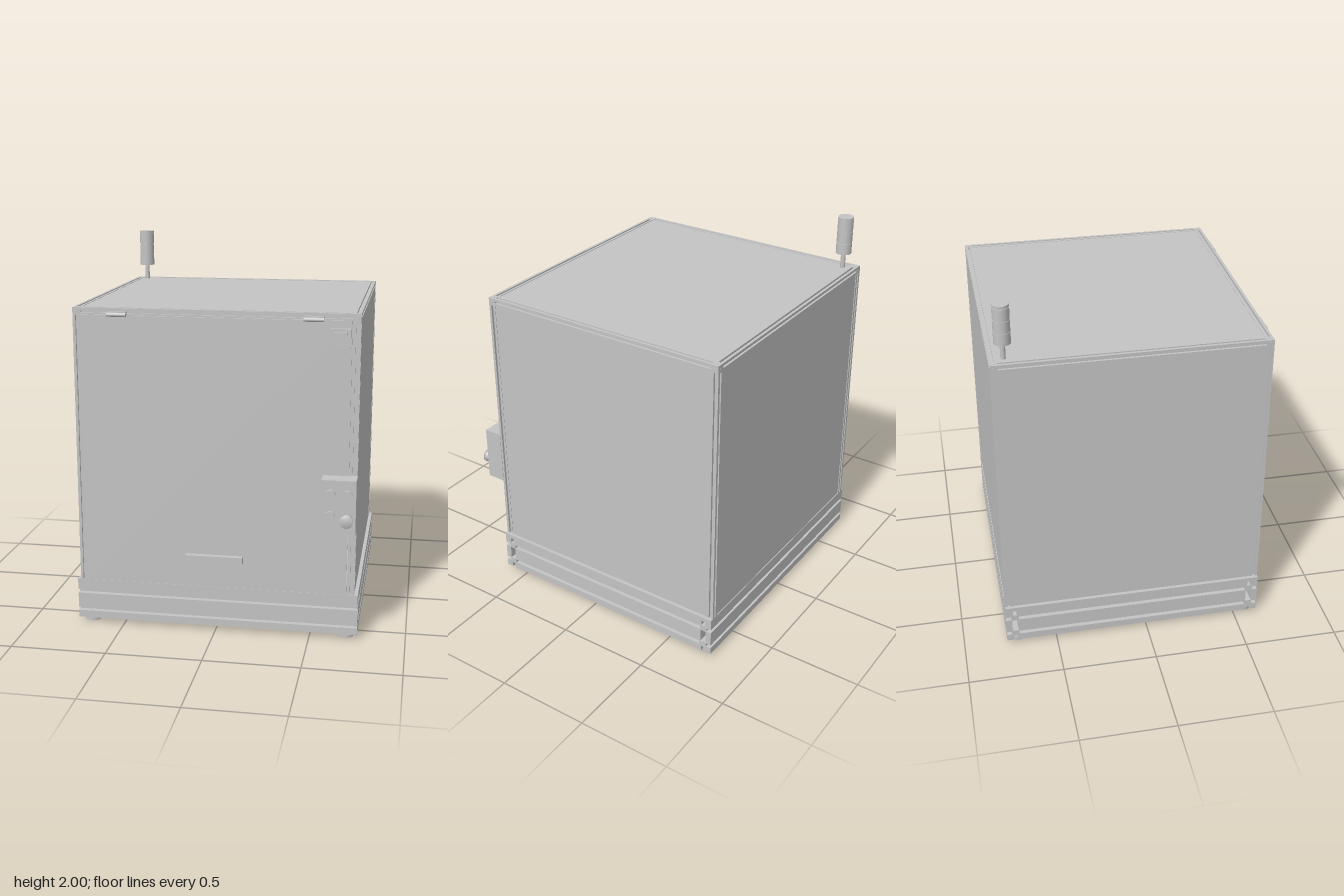
import * as THREE from 'three';

const CZ = -0.0725; // centre of the enclosure in z

export function createModel() {
  const root = new THREE.Group();
  const grey = new THREE.MeshStandardMaterial({ color: 0xc4c4c4 });
  grey.name = 'lightGrey';

  const add = (name, geo, x = 0, y = 0, z = 0) => {
    const m = new THREE.Mesh(geo, grey);
    m.name = name;
    m.position.set(x, y, z);
    root.add(m);
    return m;
  };
  // Box given by its limits
  const box = (name, x0, x1, y0, y1, z0, z1) =>
    add(name, new THREE.BoxGeometry(x1 - x0, y1 - y0, z1 - z0), (x0 + x1) / 2, (y0 + y1) / 2, (z0 + z1) / 2);
  const cyl = (name, r, h, x, y, z, seg = 32) => add(name, new THREE.CylinderGeometry(r, r, h, seg), x, y, z);

  // Slotted profile; slots on the sides at heights ys, one slot in top and bottom
  const profile = (w, h, slot, depth, ys) => {
    const a = w / 2, b = h / 2, s = slot / 2, p = [];
    p.push([-a, -b], [-s, -b], [-s, -b + depth], [s, -b + depth], [s, -b], [a, -b]);
    for (const y of ys) p.push([a, y - s], [a - depth, y - s], [a - depth, y + s], [a, y + s]);
    p.push([a, b], [s, b], [s, b - depth], [-s, b - depth], [-s, b], [-a, b]);
    for (const y of [...ys].reverse()) p.push([-a, y + s], [-a + depth, y + s], [-a + depth, y - s], [-a, y - s]);
    return new THREE.Shape(p.map(([x, y]) => new THREE.Vector2(x, y)));
  };
  // Extruded bar centred on a point, running along an axis
  const bar = (name, shape, len, axis, x, y, z) => {
    const g = new THREE.ExtrudeGeometry(shape, { depth: len, bevelEnabled: false });
    g.translate(0, 0, -len / 2);
    if (axis === 'x') g.rotateY(Math.PI / 2);
    if (axis === 'y') g.rotateX(Math.PI / 2);
    return add(name, g, x, y, z);
  };

  // Base frame of heavy two-cell profiles, hollow along the length
  const heavy = profile(0.096, 0.197, 0.02, 0.028, [-0.05, 0.05]);
  const cavity = new THREE.Path([[-0.016, -0.036], [-0.016, 0.036], [0.016, 0.036], [0.016, -0.036]]
    .map(([x, y]) => new THREE.Vector2(x, y)));
  heavy.holes.push(cavity);
  for (const s of [-1, 1]) {
    bar('baseCrossBar', heavy, 1.5, 'x', 0, 0.1235, CZ + s * 0.6495);
    bar('baseSideBar', heavy, 1.203, 'z', s * 0.702, 0.1235, CZ);
    for (const z of [-0.71, 0.565]) cyl('foot', 0.044, 0.026, s * 0.685, 0.013, z);
  }
  box('floorPlate', -0.75, 0.75, 0.222, 0.245, -0.77, 0.625);

  // Upper frame: posts, rails and corner blocks with bolt heads
  const light = profile(0.04, 0.04, 0.011, 0.012, [0]);
  const px = 0.713, pz = 0.6775;
  for (const s of [-1, 1]) {
    bar('topCrossRail', light, 2 * px - 0.04, 'x', 0, 1.692, CZ + s * pz);
    bar('topSideRail', light, 2 * pz - 0.04, 'z', s * px, 1.692, CZ);
    for (const t of [-1, 1]) {
      const z = CZ + t * pz;
      bar('post', light, 1.427, 'y', s * px, 0.9585, z);
      box('cornerBlock', s * px - 0.02, s * px + 0.02, 1.672, 1.712, z - 0.02, z + 0.02);
      cyl('cornerBolt', 0.007, 0.003, s * px, 1.712, z, 12);
      cyl('cornerBolt', 0.007, 0.003, s * (px + 0.02), 1.692, z, 12).rotation.z = Math.PI / 2;
      cyl('cornerBolt', 0.007, 0.003, s * px, 1.692, z + t * 0.02, 12).rotation.x = Math.PI / 2;
    }
  }

  // Panels between the frame bars
  box('leftPanel', 0.718, 0.731, 0.245, 1.673, -0.731, 0.586);
  box('rightPanel', -0.731, -0.718, 0.245, 1.673, -0.731, 0.586);
  box('backPanel', -0.694, 0.694, 0.245, 1.673, -0.766, -0.753);
  box('topPanel', -0.694, 0.694, 1.697, 1.71, -0.731, 0.586);
  box('frontSill', -0.693, 0.693, 0.245, 0.285, 0.585, 0.622);

  // Door with hinges and handle
  box('door', -0.69, 0.69, 0.25, 1.677, 0.624, 0.635);
  for (const x of [-0.5, 0.5]) {
    box('hingeLeaf', x - 0.05, x + 0.05, 1.667, 1.697, 0.622, 0.638);
    cyl('hingePin', 0.011, 0.1, x, 1.68, 0.636, 16).rotation.z = Math.PI / 2;
  }
  box('handle', -0.15, 0.15, 0.393, 0.428, 0.634, 0.664);

  // Door switch
  box('switchBase', 0.584, 0.685, 1.543, 1.64, 0.634, 0.655);
  box('switchFace', 0.599, 0.669, 1.558, 1.626, 0.654, 0.669);

  // Control box with buttons and emergency stop
  box('controlBox', 0.56, 0.735, 0.595, 0.89, 0.623, 0.725);
  for (const [x, y] of [[0.605, 0.815], [0.69, 0.815], [0.605, 0.703]])
    cyl('button', 0.027, 0.02, x, y, 0.732).rotation.x = Math.PI / 2;
  const mushroom = [[0, 0], [0.028, 0], [0.028, 0.012], [0.021, 0.012], [0.021, 0.02], [0.034, 0.034], [0.034, 0.048], [0, 0.048]];
  const stop = new THREE.LatheGeometry(mushroom.map(([r, y]) => new THREE.Vector2(r, y)), 32);
  add('emergencyStop', stop, 0.69, 0.69, 0.723).rotation.x = Math.PI / 2;

  // Signal tower
  const tx = -0.663, tz = -0.697;
  cyl('towerStem', 0.013, 0.1, tx, 1.755, tz);
  cyl('towerCore', 0.039, 0.195, tx, 1.8975, tz);
  for (const [y0, y1] of [[1.795, 1.855], [1.858, 1.918], [1.925, 1.983], [1.988, 2]])
    cyl('towerSegment', 0.042, y1 - y0, tx, (y0 + y1) / 2, tz);

  // Drive parts under the floor
  cyl('driveDisc', 0.08, 0.028, -0.08, 0.209, 0.075);
  cyl('driveShaft', 0.018, 0.09, -0.08, 0.155, 0.075, 20);
  box('drivePlate', -0.1, 0.06, 0.212, 0.223, 0.15, 0.31);
  box('driveMotor', -0.13, -0.03, 0.12, 0.222, 0.25, 0.35);

  return root;
}
